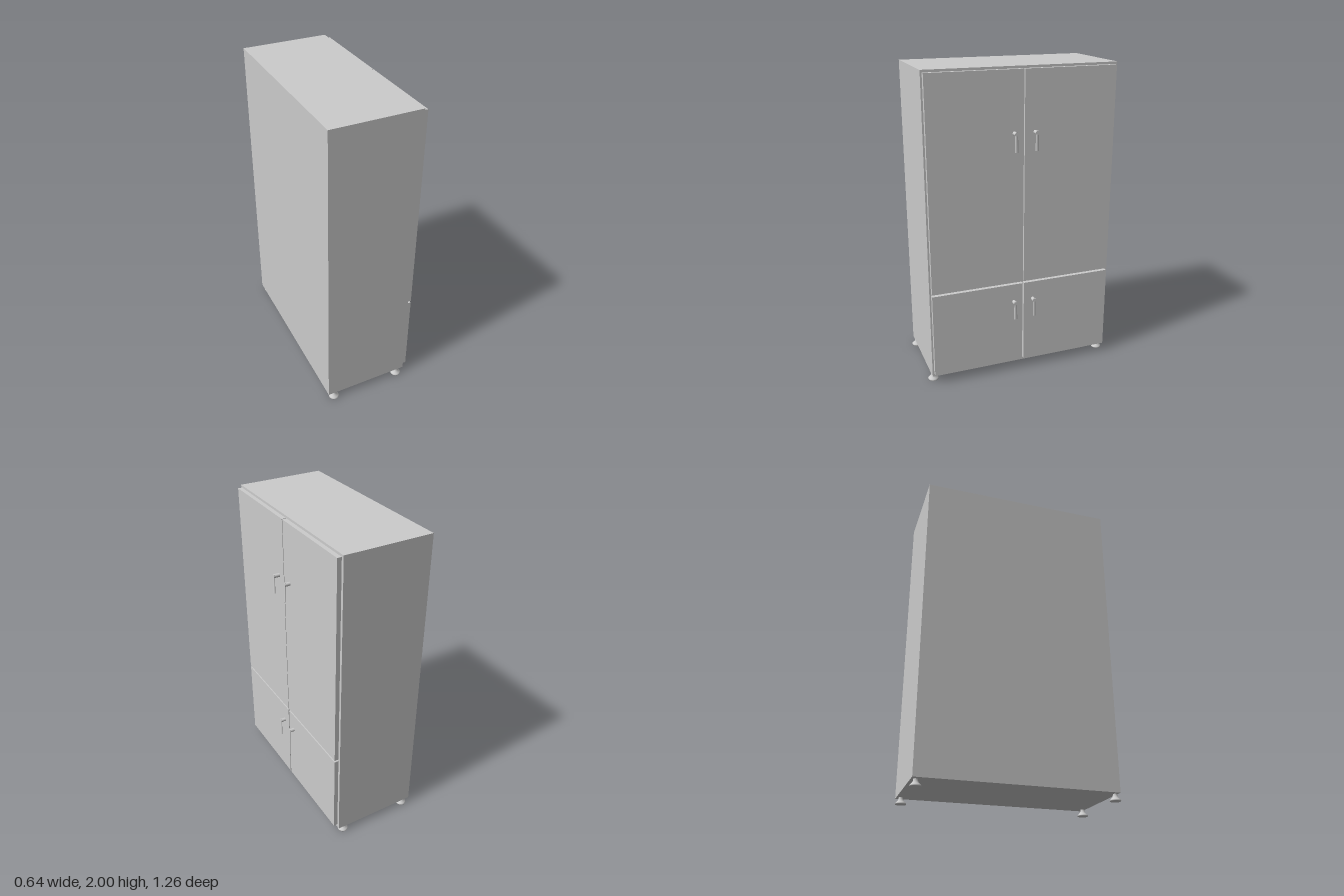
import * as THREE from 'three';

const material = new THREE.MeshStandardMaterial({ color: 0xcccccc });

function add(parent, name, geometry, x = 0, y = 0, z = 0) {
  const mesh = new THREE.Mesh(geometry, material);
  mesh.name = name;
  mesh.position.set(x, y, z);
  parent.add(mesh);
  return mesh;
}

// Box given by its lower and upper limits on each axis
function block(parent, name, [x0, x1], [y0, y1], [z0, z1]) {
  return add(parent, name, new THREE.BoxGeometry(x1 - x0, y1 - y0, z1 - z0),
    (x0 + x1) / 2, (y0 + y1) / 2, (z0 + z1) / 2);
}

// Hooked handle: round stem out of the door and a lever hanging from its end
function handle(parent, name, { top, z, reach, topWidth, bottomWidth }) {
  const group = new THREE.Group();
  group.name = name;
  group.position.set(0.27, top, z);
  parent.add(group);
  const stem = add(group, 'handleStem',
    new THREE.CylinderGeometry(0.012, 0.012, reach, 20), reach / 2, -0.012, 0);
  stem.rotation.z = Math.PI / 2;
  const lever = new THREE.CylinderGeometry(topWidth / 2, bottomWidth / 2, 0.122, 20);
  lever.scale(0.5, 1, 1);
  add(group, 'handleLever', lever, reach - 0.003, -0.061, 0).rotation.z = 0.03;
}

export function createModel() {
  const model = new THREE.Group();
  model.name = 'cabinet';

  // Carcass
  block(model, 'cabinetBody', [-0.32, 0.245], [0.043, 2], [-0.623, 0.611]);

  // Two tall doors over two short doors, on the +x side
  const doorX = [0.245, 0.272];
  block(model, 'upperLeftDoor', doorX, [0.635, 1.985], [-0.605, -0.007]);
  block(model, 'upperRightDoor', doorX, [0.635, 1.985], [-0.001, 0.6]);
  block(model, 'lowerLeftDoor', doorX, [0.068, 0.622], [-0.605, -0.009]);
  block(model, 'lowerRightDoor', doorX, [0.068, 0.622], [0.0, 0.6]);

  // Handles
  handle(model, 'upperRightHandle', { top: 1.621, z: 0.06, reach: 0.042, topWidth: 0.017, bottomWidth: 0.025 });
  handle(model, 'upperLeftHandle', { top: 1.621, z: -0.074, reach: 0.038, topWidth: 0.017, bottomWidth: 0.022 });
  handle(model, 'lowerRightHandle', { top: 0.512, z: 0.06, reach: 0.036, topWidth: 0.015, bottomWidth: 0.025 });
  handle(model, 'lowerLeftHandle', { top: 0.514, z: -0.071, reach: 0.036, topWidth: 0.019, bottomWidth: 0.019 });

  // Levelling feet
  const profile = [[0, 0], [0.033, 0], [0.034, 0.006], [0.029, 0.011], [0.017, 0.024], [0.013, 0.037], [0.013, 0.045]]
    .map(([r, y]) => new THREE.Vector2(r, y));
  const foot = new THREE.LatheGeometry(profile, 28);
  for (const x of [-0.276, 0.197]) {
    for (const z of [-0.596, 0.596]) add(model, 'foot', foot, x, 0, z);
  }

  return model;
}
